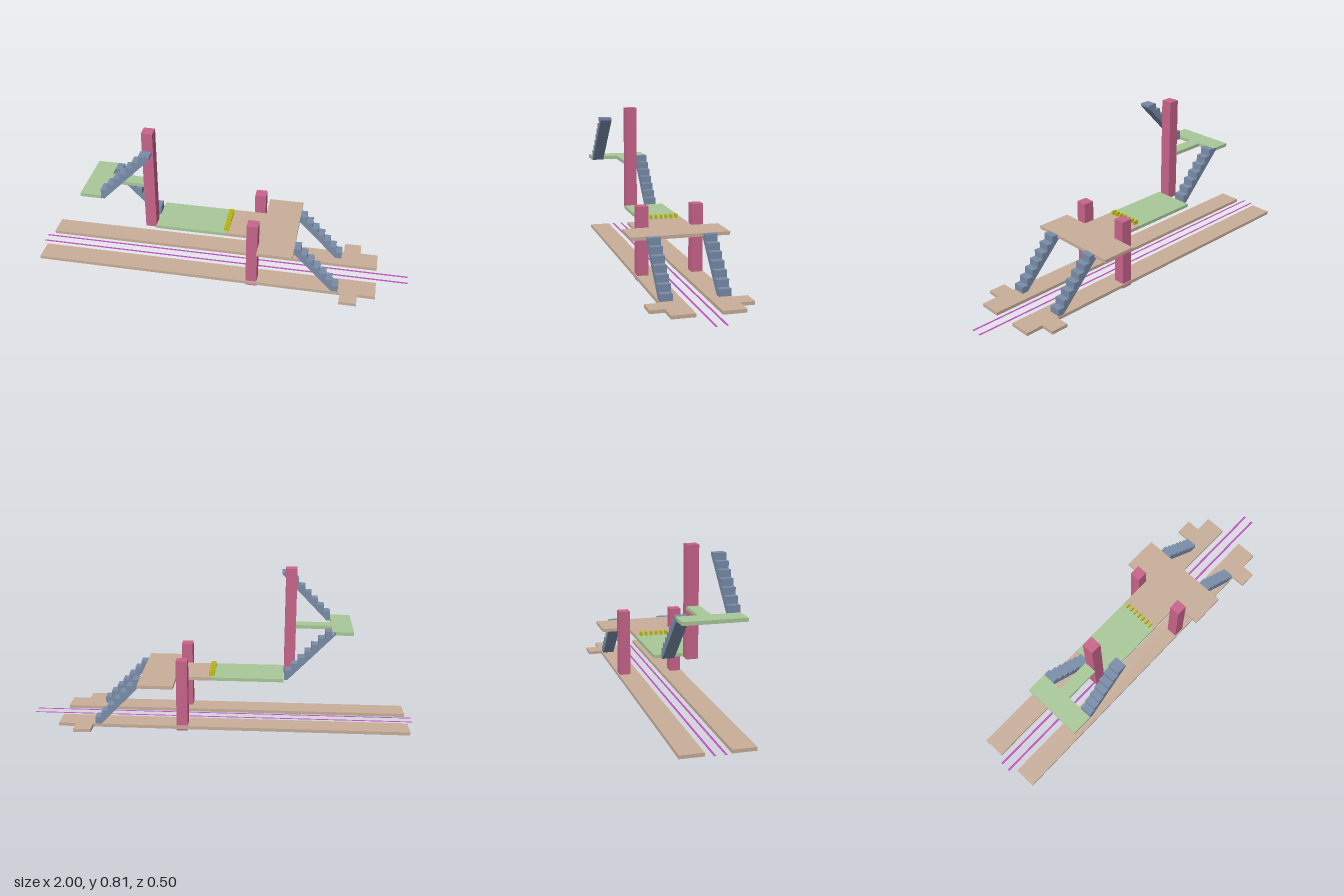
import * as THREE from 'three';

const mat = (color, side = THREE.FrontSide) =>
  new THREE.MeshStandardMaterial({ color, side, flatShading: true });

export function createModel() {
  const model = new THREE.Group();
  model.name = 'station';
  const tan = mat(0xc8ae9a), green = mat(0xa8c898), blue = mat(0x788ca8);
  const pink = mat(0xc8648a), yellow = mat(0xc4c010);
  const purple = mat(0xc050c0, THREE.DoubleSide);

  const add = (name, geometry, material) => {
    const mesh = new THREE.Mesh(geometry, material);
    mesh.name = name;
    model.add(mesh);
    return mesh;
  };
  // box given by its limits on each axis
  const box = (name, material, [x0, x1], [y0, y1], [z0, z1]) =>
    add(name, new THREE.BoxGeometry(x1 - x0, y1 - y0, z1 - z0), material)
      .position.set((x0 + x1) / 2, (y0 + y1) / 2, (z0 + z1) / 2);
  // horizontal slab from an outline of [x, z] points
  const slab = (name, material, outline, y0, y1) => {
    const shape = new THREE.Shape(outline.map(([x, z]) => new THREE.Vector2(x, -z)));
    const geometry = new THREE.ExtrudeGeometry(shape, { depth: y1 - y0, bevelEnabled: false });
    add(name, geometry.rotateX(-Math.PI / 2).translate(0, y0, 0), material);
  };

  // straight flight descending from x0 in direction dir, with a sloping underside
  const stair = (name, x0, dir, top, z0, z1) => {
    const steps = 7, run = 0.0336, rise = 0.0352, stub = 0.02;
    const pts = [[-stub, -0.001], [0, -0.001]];
    for (let i = 0; i < steps; i++) {
      pts.push([i * run, -i * rise], [(i + 1) * run, -i * rise]);
    }
    const foot = -steps * rise - 0.016;
    pts.push([steps * run, foot], [steps * run - 0.017, foot], [-stub, -0.0145]);
    const shape = new THREE.Shape(pts.map(([x, y]) => new THREE.Vector2(x0 + dir * x, top + y)));
    const geometry = new THREE.ExtrudeGeometry(shape, { depth: z1 - z0, bevelEnabled: false });
    add(name, geometry.translate(0, 0, z0), blue);
  };

  // mirrored platforms, pillars, stairs and rails on both sides of the track
  for (const s of [1, -1]) {
    const side = s > 0 ? 'front' : 'back';
    const span = (a, b) => (s > 0 ? [a, b] : [-b, -a]);
    slab(side + 'Platform', tan, [
      [-0.97, 0.061], [0.837, 0.061], [0.837, 0.175], [0.745, 0.175],
      [0.745, 0.247], [0.655, 0.247], [0.655, 0.175], [-0.97, 0.175],
    ].map(([x, z]) => [x, s * z]), 0.01, 0.027);
    box(side + 'Pillar', pink, [0.163, 0.221], [0, 0.377], span(0.112, 0.17));
    stair(side + 'PlatformStair', 0.409, 1, 0.273, ...span(0.11, 0.171));
    add(side + 'Rail', new THREE.PlaneGeometry(2, 0.011).rotateX(-Math.PI / 2), purple)
      .position.set(0, 0.02, s * 0.025);
  }

  // elevated concourse: wide hall and narrow bridge
  slab('concourse', tan, [
    [0.045, -0.109], [0.227, -0.109], [0.227, -0.247], [0.409, -0.247],
    [0.409, 0.248], [0.227, 0.248], [0.227, 0.107], [0.045, 0.107],
  ], 0.256, 0.273);
  box('bridgeDeck', green, [-0.324, 0.045], [0.256, 0.273], [-0.109, 0.107]);

  // row of ticket gates
  for (let i = 0; i < 7; i++) {
    const z = -0.08 + i * 0.0267;
    box('gate' + (i + 1), yellow, [0.032, 0.058], [0.273, 0.294], [z - 0.005, z + 0.005]);
  }

  // tower with its landing and two flights
  box('towerPillar', pink, [-0.382, -0.325], [0.256, 0.813], [0.0365, 0.0955]);
  slab('upperLanding', green, [
    [-0.671, -0.073], [-0.564, -0.073], [-0.564, 0.0335], [-0.381, 0.0335],
    [-0.381, 0.0985], [-0.564, 0.0985], [-0.564, 0.239], [-0.671, 0.239],
  ], 0.501, 0.519);
  stair('lowerTowerStair', -0.562, 1, 0.519, -0.073, -0.0125);
  stair('upperTowerStair', -0.328, -1, 0.765, 0.179, 0.239);

  return model;
}
